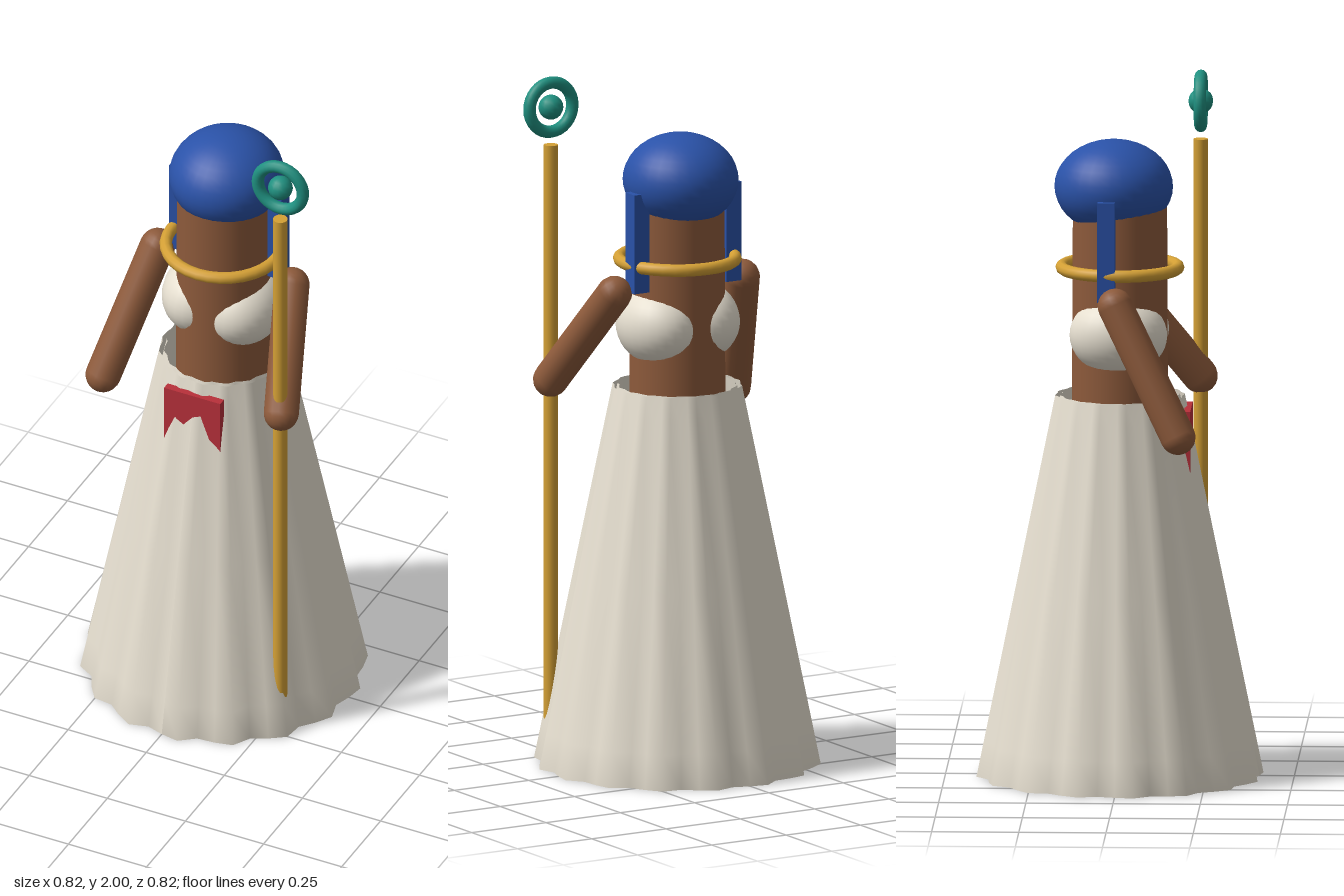
import * as THREE from 'three';

const material = (name, color) => {
  const m = new THREE.MeshStandardMaterial({ color });
  m.name = name;
  return m;
};

export function createModel() {
  const linen = material('linen', 0xe6dfd0);
  const skin = material('skin', 0x8d5a3b);
  const blue = material('blue', 0x2a52a8);
  const gold = material('gold', 0xd4a035);
  const red = material('red', 0xb8303a);
  const teal = material('teal', 0x1f9080);
  linen.side = THREE.DoubleSide;

  const model = new THREE.Group();
  model.name = 'figure';
  const add = (name, geometry, mat, x = 0, y = 0, z = 0) => {
    const mesh = new THREE.Mesh(geometry, mat);
    mesh.name = name;
    mesh.position.set(x, y, z);
    model.add(mesh);
    return mesh;
  };

  // Pleated skirt: a thin lathed shell, rippled into 16 folds that deepen to the hem
  const waistY = 1.105;
  const profile = [];
  const radiusAt = (y) => 0.4 - 0.217 * (y / waistY);
  for (const y of [waistY, 1.04, 0.55, 0.1, 0]) profile.push(new THREE.Vector2(radiusAt(y) - 0.014, y));
  for (const y of [0, 0.1, 0.55, 1.04, waistY]) profile.push(new THREE.Vector2(radiusAt(y), y));
  const skirt = new THREE.LatheGeometry(profile, 48);
  const p = skirt.attributes.position;
  for (let i = 0; i < p.count; i++) {
    const x = p.getX(i), y = p.getY(i), z = p.getZ(i);
    const depth = 0.015 - 0.011 * (y / waistY);
    const k = 1 + (depth * Math.sin(16 * Math.atan2(x, z))) / Math.hypot(x, z);
    p.setXYZ(i, x * k, y, z * k);
  }
  skirt.computeVertexNormals();
  add('skirt', skirt, linen);

  // Sash plate, partly sunk into the skirt front
  add('sash', new THREE.BoxGeometry(0.18, 0.21, 0.024), red, 0, 0.965, 0.193);

  // Body column and hair
  add('torso', new THREE.CylinderGeometry(0.135, 0.138, 0.7, 32), skin, 0, 1.35, 0);
  add('hair', new THREE.SphereGeometry(1, 32, 20), blue, 0, 1.71, -0.018).scale.set(0.165, 0.135, 0.17);

  // Collar ring
  add('collar', new THREE.TorusGeometry(0.167, 0.018, 10, 32), gold, 0, 1.475, 0).rotation.x = Math.PI / 2;

  // Mirrored side locks and bodice cups
  for (const [side, s] of [['left', 1], ['right', -1]]) {
    add(side + 'Lock', new THREE.BoxGeometry(0.05, 0.29, 0.05), blue, s * 0.155, 1.545, -0.033);
    add(side + 'Cup', new THREE.SphereGeometry(1, 28, 20), linen, s * 0.066, 1.288, -0.002).scale.set(0.115, 0.116, 0.14);
  }

  // Arms: capsules from shoulder to hand
  const arm = (name, from, to) => {
    const dir = to.clone().sub(from);
    const mid = from.clone().add(to).multiplyScalar(0.5);
    const mesh = add(name, new THREE.CapsuleGeometry(0.051, dir.length(), 6, 16), skin, mid.x, mid.y, mid.z);
    mesh.quaternion.setFromUnitVectors(new THREE.Vector3(0, 1, 0), dir.normalize());
  };
  arm('leftArm', new THREE.Vector3(0.215, 1.397, -0.005), new THREE.Vector3(0.292, 1.112, 0.218));
  arm('rightArm', new THREE.Vector3(-0.215, 1.397, -0.005), new THREE.Vector3(-0.298, 1.032, 0.178));

  // Staff with a floating ring and bead
  add('staff', new THREE.CylinderGeometry(0.021, 0.021, 1.71, 16), gold, 0.29, 0.945, 0.22);
  add('staffRing', new THREE.TorusGeometry(0.072, 0.018, 12, 32), teal, 0.29, 1.91, 0.22);
  add('staffBead', new THREE.SphereGeometry(0.036, 14, 10), teal, 0.29, 1.91, 0.22);

  return model;
}
